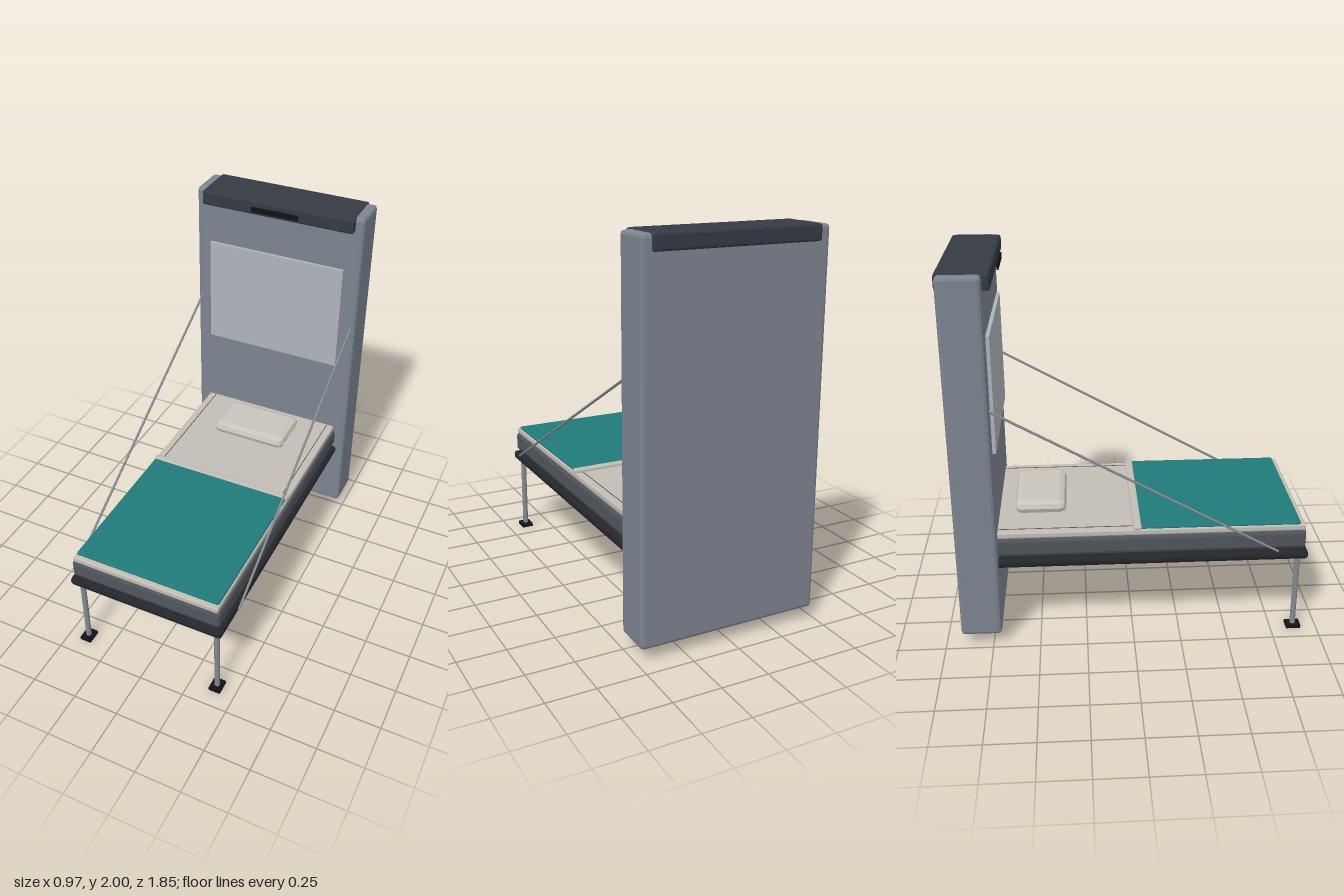
import * as THREE from 'three';
import { RoundedBoxGeometry } from 'three/addons/geometries/RoundedBoxGeometry.js';

export function createModel() {
  const model = new THREE.Group();
  const mat = (color) => new THREE.MeshStandardMaterial({ color, flatShading: true });
  const shell = mat(0x7d8490), dark = mat(0x353a44), base = mat(0x24262b), black = mat(0x111214);
  const side = mat(0x50565c), cream = mat(0xc2beb4), pillowMat = mat(0xc9c4bc);
  const teal = mat(0x207b79), pale = mat(0xafb3ba);
  const metal = new THREE.MeshStandardMaterial({ color: 0x85898e });

  function add(name, geometry, material) {
    const mesh = new THREE.Mesh(geometry, material);
    mesh.name = name;
    model.add(mesh);
    return mesh;
  }
  // Box from its limits, with an optional softened edge
  function box(name, material, [x0, x1], [y0, y1], [z0, z1], r = 0) {
    const s = [x1 - x0, y1 - y0, z1 - z0];
    const g = r ? new RoundedBoxGeometry(...s, 1, r) : new THREE.BoxGeometry(...s);
    g.translate((x0 + x1) / 2, (y0 + y1) / 2, (z0 + z1) / 2);
    return add(name, g, material);
  }
  // Round bar between two points
  function bar(name, a, b, radius) {
    const path = new THREE.LineCurve3(new THREE.Vector3(...a), new THREE.Vector3(...b));
    const mesh = add(name, new THREE.CylinderGeometry(radius, radius, path.getLength(), 16), metal);
    mesh.position.copy(path.getPoint(0.5));
    mesh.quaternion.setFromUnitVectors(new THREE.Vector3(0, 1, 0), path.getTangent(0));
  }

  // Upright cabinet with top rail, grip and front panel
  box('cabinet', shell, [-0.483, 0.483], [0.068, 1.996], [-0.916, -0.703], 0.018);
  box('topRail', dark, [-0.435, 0.435], [1.918, 2], [-0.925, -0.665], 0.012);
  box('gripSlot', black, [-0.133, 0.133], [1.943, 1.971], [-0.654, -0.644]);
  box('frontPanel', pale, [-0.397, 0.393], [1.08, 1.69], [-0.71, -0.685]);

  // Bed platform and mattress
  box('bedFrame', base, [-0.437, 0.437], [0.44, 0.488], [-0.74, 0.925], 0.018);
  box('mattress', side, [-0.423, 0.423], [0.5, 0.607], [-0.74, 0.91], 0.02);
  box('sheet', cream, [-0.412, 0.412], [0.602, 0.636], [-0.74, 0.906], 0.008);
  box('blanket', teal, [-0.405, 0.405], [0.63, 0.65], [0.03, 0.88], 0.008);
  box('blanketFold', cream, [-0.412, 0.412], [0.628, 0.653], [0, 0.043], 0.008);
  box('pillow', pillowMat, [-0.22, 0.22], [0.636, 0.705], [-0.62, -0.345], 0.034);

  for (const s of [-1, 1]) {
    const x = s * 0.393;
    // Sheet seam
    box('sheetSeam', side, [s * 0.37 - 0.002, s * 0.37 + 0.002], [0.634, 0.638], [-0.7, 0]);
    // Leg with foot pad
    bar('leg', [x, 0.015, 0.875], [x, 0.45, 0.875], 0.015);
    box('foot', black, [x - 0.033, x + 0.033], [0, 0.02], [0.835, 0.915], 0.004);
    // Slanted support rod
    bar('supportRod', [s * 0.457, 1.335, -0.71], [s * 0.457, 0.508, 0.755], 0.0065);
  }
  return model;
}
